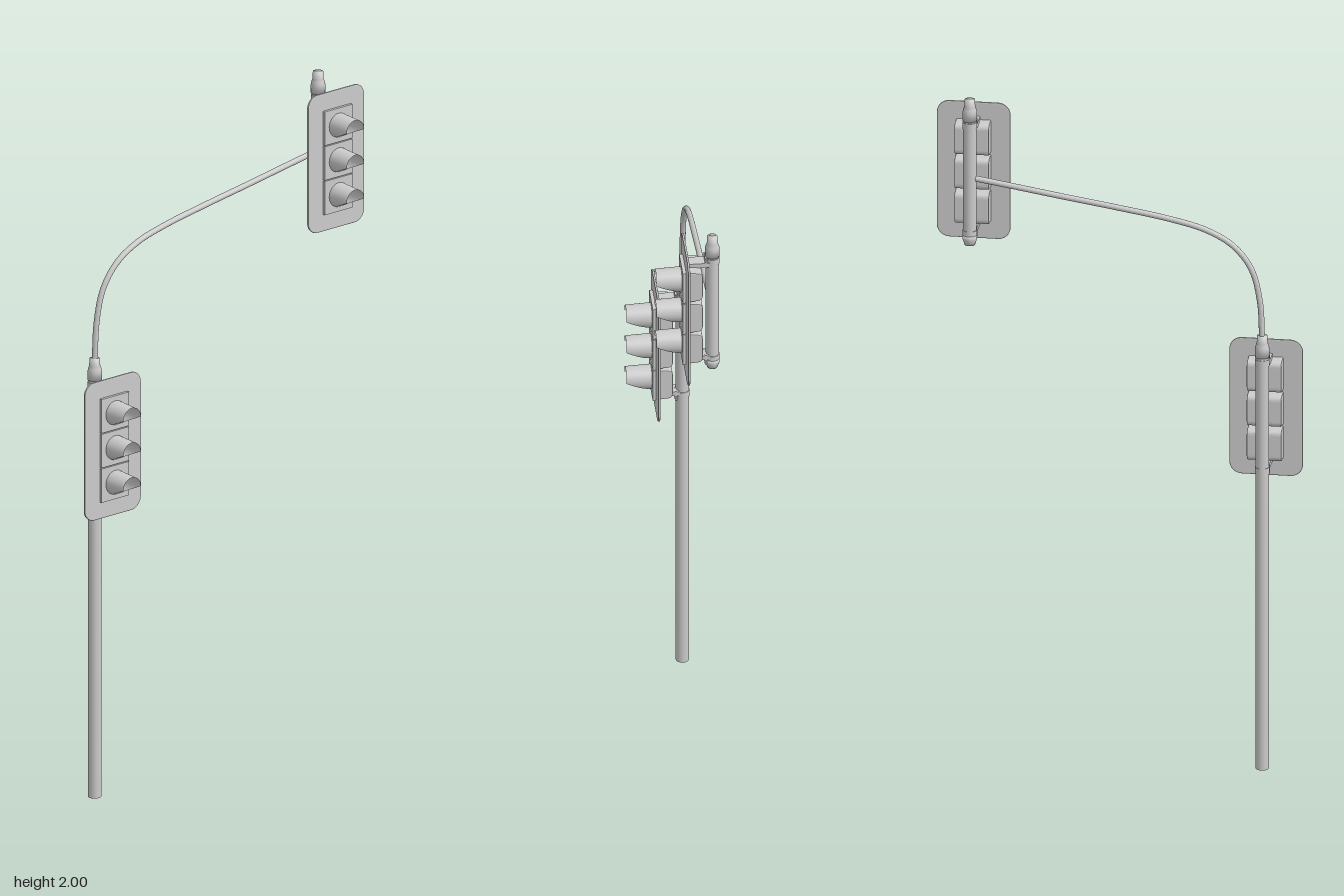
import * as THREE from 'three';

const mat = new THREE.MeshStandardMaterial({ color: 0xcccccc });
const thinMat = new THREE.MeshStandardMaterial({ color: 0xcccccc, side: THREE.DoubleSide });
const POLE_Z = -0.07, POLE_R = 0.019, X = 0.422;

function add(parent, name, geo, x = 0, y = 0, z = 0, material = mat) {
  const mesh = new THREE.Mesh(geo, material);
  mesh.name = name;
  mesh.position.set(x, y, z);
  parent.add(mesh);
  return mesh;
}

function roundedRect(w, h, r) {
  const s = new THREE.Shape(), a = w / 2 - r, b = h / 2 - r;
  s.absarc(a, b, r, 0, Math.PI / 2);
  s.absarc(-a, b, r, Math.PI / 2, Math.PI);
  s.absarc(-a, -b, r, Math.PI, Math.PI * 1.5);
  s.absarc(a, -b, r, Math.PI * 1.5, Math.PI * 2);
  s.closePath();
  return s;
}

function lathe(points) {
  return new THREE.LatheGeometry(points.map(([r, y]) => new THREE.Vector2(r, y)), 20);
}

// Hood: a tapered tube whose lower half is cut back towards the lens
function hoodGeometry() {
  const geo = new THREE.CylinderGeometry(1, 1, 1, 32, 6, true);
  const p = geo.attributes.position;
  for (let i = 0; i < p.count; i++) {
    const c = p.getZ(i), s = p.getX(i), t = p.getY(i) + 0.5;
    const reach = 0.074 * THREE.MathUtils.clamp((c + 1.02) / 1.0, 0.04, 1);
    const r = 0.036 - 0.003 * t * reach / 0.074;
    p.setXYZ(i, -s * r, c * r, t * reach);
  }
  geo.computeVertexNormals();
  return geo;
}

// Lamp body: side profile with a rounded back, extruded across x
function housingGeometry() {
  const s = new THREE.Shape();
  s.moveTo(-0.015, -0.051);
  s.lineTo(0.026, -0.047);
  s.quadraticCurveTo(0.038, -0.044, 0.038, -0.03);
  s.lineTo(0.038, 0.03);
  s.quadraticCurveTo(0.038, 0.044, 0.026, 0.047);
  s.lineTo(-0.015, 0.051);
  s.closePath();
  const geo = new THREE.ExtrudeGeometry(s, { depth: 0.094, bevelSize: 0.003, bevelThickness: 0.003, bevelSegments: 2, bevelOffset: -0.003, curveSegments: 6 });
  geo.translate(0, 0, -0.047);
  geo.rotateY(Math.PI / 2);
  return geo;
}

function signalHead() {
  const head = new THREE.Group();
  head.name = 'signalHead';
  const plate = new THREE.ExtrudeGeometry(roundedRect(0.212, 0.416, 0.036), { depth: 0.003, bevelSize: 0.004, bevelThickness: 0.002, bevelSegments: 3, bevelOffset: -0.004, curveSegments: 8 });
  add(head, 'backPlate', plate, 0, 0, 0.005);

  const housing = housingGeometry(), hood = hoodGeometry();
  const lens = new THREE.SphereGeometry(0.034, 24, 8, 0, Math.PI * 2, 0, Math.PI / 2);
  lens.rotateX(Math.PI / 2);
  lens.scale(1, 1, 0.45);
  for (const y of [0.105, 0, -0.105]) {
    add(head, 'lampHousing', housing, 0, y, 0);
    add(head, 'lampDoor', new THREE.BoxGeometry(0.104, 0.102, 0.008), 0, y, 0.016);
    add(head, 'lens', lens, 0, y, 0.02);
    add(head, 'hood', hood, 0, y, 0.019, thinMat);
  }

  // Brackets and bands holding the head to the pole
  for (const s of [1, -1]) {
    add(head, 'bracketArm', new THREE.BoxGeometry(0.038, 0.014, 0.064), 0, s * 0.158, -0.028);
    add(head, 'bracketFlange', new THREE.BoxGeometry(0.038, 0.03, 0.006), 0, s * 0.165, -0.05);
    add(head, 'poleBand', new THREE.CylinderGeometry(0.0205, 0.0205, 0.02, 20), 0, s * 0.165, POLE_Z);
  }
  return head;
}

export function createModel() {
  const root = new THREE.Group();
  root.name = 'trafficLight';

  // Main pole and the short hanger pole at the arm's end
  add(root, 'mainPole', new THREE.CylinderGeometry(POLE_R, POLE_R, 1.285, 20), -X, 0.6425, POLE_Z);
  add(root, 'hangerPole', new THREE.CylinderGeometry(POLE_R, POLE_R, 0.385, 20), X, 1.7675, POLE_Z);

  // Tapered end caps
  const cap = lathe([[0, 0], [0.021, 0], [0.021, 0.024], [0.019, 0.034], [0.016, 0.042], [0.015, 0.064], [0, 0.065]]);
  const foot = lathe([[0, -0.03], [0.015, -0.03], [0.018, -0.02], [0.021, -0.012], [0.021, 0], [0, 0]]);
  add(root, 'poleCap', cap, -X, 1.26, POLE_Z);
  add(root, 'hangerCap', cap, X, 1.935, POLE_Z);
  add(root, 'hangerFoot', foot, X, 1.585, POLE_Z);

  // Curved arm
  const path = new THREE.CatmullRomCurve3([
    [-0.422, 1.3], [-0.415, 1.43], [-0.39, 1.527], [-0.337, 1.595], [-0.26, 1.638],
    [-0.16, 1.665], [0, 1.693], [0.16, 1.718], [0.32, 1.744], [X, 1.76],
  ].map(([x, y]) => new THREE.Vector3(x, y, POLE_Z)));
  add(root, 'arm', new THREE.TubeGeometry(path, 48, 0.0085, 12), 0, 0, 0);

  // Signal heads
  for (const [x, y] of [[-X, 1.078], [X, 1.755]]) {
    const head = signalHead();
    head.position.set(x, y, 0);
    root.add(head);
  }
  return root;
}
